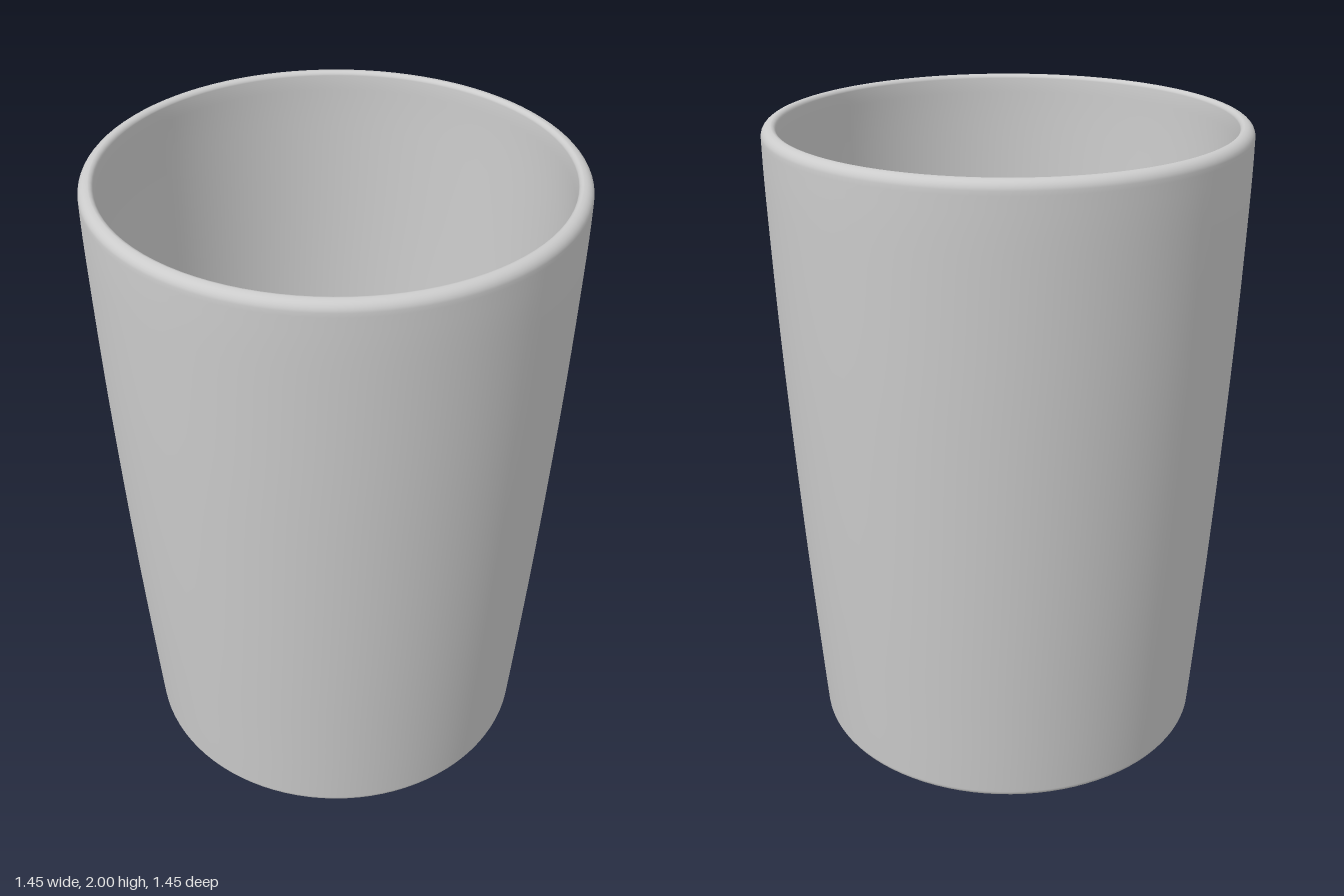
import * as THREE from 'three';

const SEGMENTS = 96;
const material = new THREE.MeshStandardMaterial({ color: 0xcccccc });

// Outer radius of the gently bowed, tapering wall at height y
const wallCurve = new THREE.SplineCurve([
  [0.63, 0.02], [0.643, 0.2], [0.67, 0.6], [0.693, 1.0], [0.712, 1.4], [0.725, 1.8], [0.727, 1.96],
].map(([r, y]) => new THREE.Vector2(r, y)));

function lathe(name, points) {
  const mesh = new THREE.Mesh(new THREE.LatheGeometry(points, SEGMENTS), material);
  mesh.name = name;
  return mesh;
}

// Points on a rounded corner or fillet
const arc = (cx, cy, rx, ry, from, to, steps) =>
  Array.from({ length: steps + 1 }, (_, i) => {
    const a = from + ((to - from) * i) / steps;
    return new THREE.Vector2(cx + rx * Math.cos(a), cy + ry * Math.sin(a));
  });

export function createModel() {
  const group = new THREE.Group();
  group.name = 'cup';
  const wall = wallCurve.getPoints(30);
  const thickness = 0.046;
  const inner = wall
    .filter((p) => p.y > 0.16)
    .map((p) => new THREE.Vector2(p.x - thickness, p.y))
    .reverse();

  // Flat underside
  const base = new THREE.Mesh(new THREE.CircleGeometry(0.618, SEGMENTS), material);
  base.rotation.x = Math.PI / 2;
  base.name = 'base';
  group.add(base);

  // Outer wall with a small bevel at the foot, rounded rim, inner wall
  // and a fillet running into the slightly dished floor
  group.add(lathe('body', [
    ...arc(0.61, 0.02, 0.02, 0.02, -Math.PI / 2 + 0.4, -0.2, 4),
    ...wall,
    ...arc(0.697, 1.97, 0.03, 0.03, 0.1, Math.PI / 2, 6),
    ...arc(0.697, 1.985, 0.015, 0.015, Math.PI / 2 + 0.2, Math.PI - 0.2, 4),
    ...inner,
    ...arc(0.55, 0.14, 0.044, 0.05, -0.15, -Math.PI / 2, 8),
    new THREE.Vector2(0.5, 0.088),
    new THREE.Vector2(0.25, 0.076),
    new THREE.Vector2(0, 0.065),
  ]));
  return group;
}
